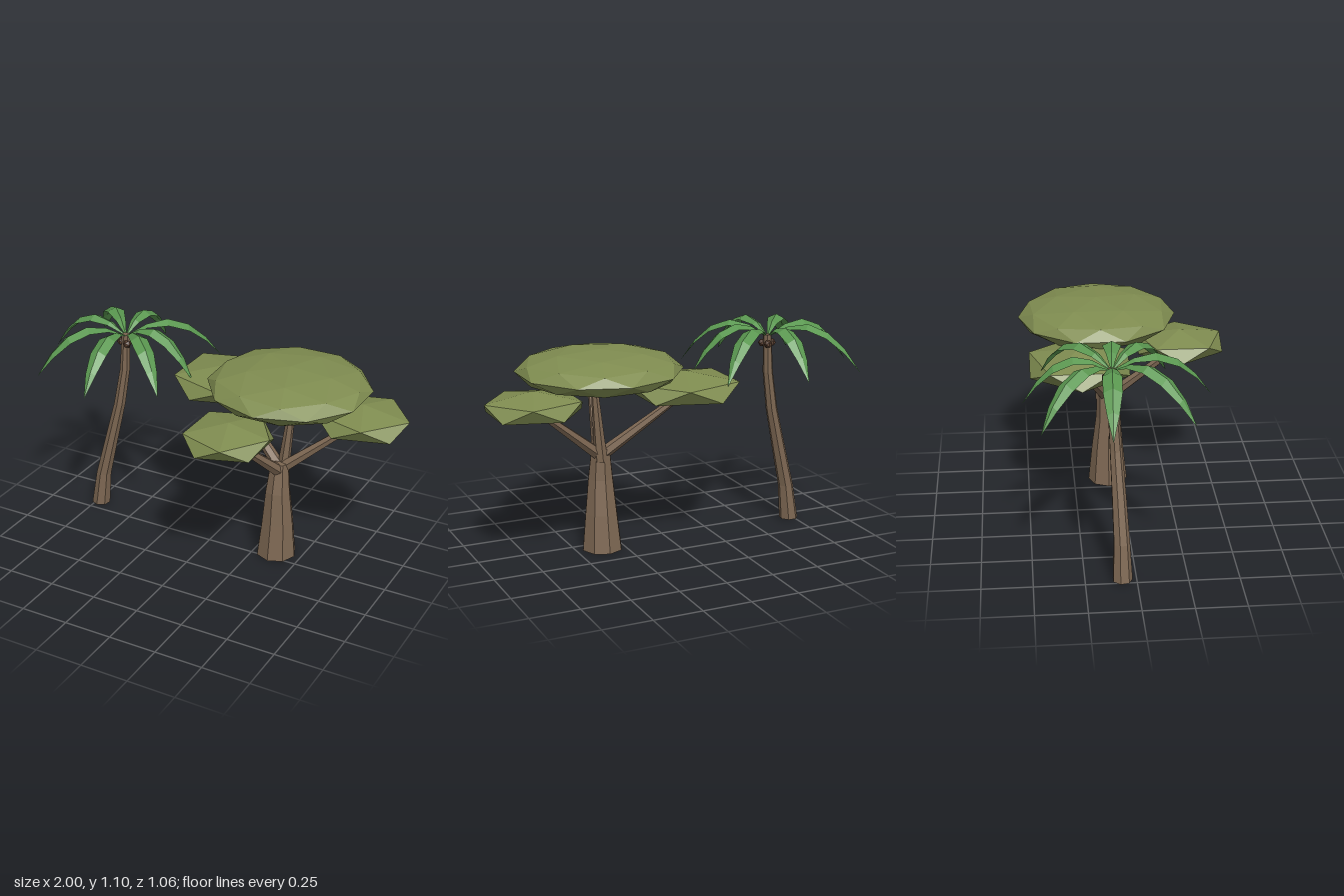
import * as THREE from 'three';

const mat = (name, color, side = THREE.FrontSide) =>
  Object.assign(new THREE.MeshStandardMaterial({ color, flatShading: true, side }), { name });

export function createModel() {
  const bark = mat('bark brown', 0x7e6853);
  const nut = mat('nut brown', 0x5a4030);
  const olive = mat('olive foliage', 0x7f8c50);
  const green = mat('palm green', 0x5a9750, THREE.DoubleSide);

  const model = new THREE.Group();
  model.name = 'savannaTrees';
  const acacia = new THREE.Group();
  acacia.name = 'flatTopTree';
  const palm = new THREE.Group();
  palm.name = 'palmTree';
  model.add(acacia, palm);

  const add = (parent, name, geometry, material) => {
    const mesh = new THREE.Mesh(geometry, material);
    mesh.name = name;
    parent.add(mesh);
    return mesh;
  };

  // Trunk bent through rings of [x, y, z, radius], bottom to top
  function trunk(rings, sides) {
    const n = rings.length - 1;
    const g = new THREE.CylinderGeometry(1, 1, 1, sides, n);
    const p = g.attributes.position;
    for (let i = 0; i < p.count; i++) {
      const [x, y, z, r] = rings[Math.round((p.getY(i) + 0.5) * n)];
      p.setXYZ(i, x + p.getX(i) * r, y, z + p.getZ(i) * r);
    }
    g.computeVertexNormals();
    return g;
  }

  // Straight tapered limb between two points
  function limb(from, to, r0, r1) {
    const a = new THREE.Vector3(...from), b = new THREE.Vector3(...to);
    const d = b.clone().sub(a);
    const g = new THREE.CylinderGeometry(r1, r0, d.length(), 6);
    g.applyQuaternion(new THREE.Quaternion().setFromUnitVectors(
      new THREE.Vector3(0, 1, 0), d.clone().normalize()));
    const mid = a.add(b).multiplyScalar(0.5);
    return g.translate(mid.x, mid.y, mid.z);
  }

  // Flattened icosahedron standing on one corner
  function crown(center, size, detail) {
    const g = new THREE.IcosahedronGeometry(1, detail);
    g.rotateZ(Math.PI / 2 - Math.atan((1 + Math.sqrt(5)) / 2));
    g.rotateY(Math.PI);
    return g.scale(...size).translate(...center);
  }

  // Flat-topped tree
  add(acacia, 'trunk', trunk([
    [0.362, 0.005, -0.065, 0.105], [0.365, 0.2, -0.065, 0.085],
    [0.365, 0.38, -0.06, 0.066], [0.367, 0.54, -0.07, 0.048],
  ], 8), bark);
  const limbs = [
    ['frontBranch', [0.37, 0.5, -0.05], [0.27, 0.81, 0.305]],
    ['leftBranch', [0.37, 0.5, -0.075], [0.75, 0.81, -0.19]],
    ['rightBranch', [0.37, 0.5, -0.075], [-0.02, 0.82, -0.23]],
    ['topBranch', [0.375, 0.48, -0.095], [0.415, 0.9, -0.11]],
  ];
  for (const [name, from, to] of limbs) add(acacia, name, limb(from, to, 0.033, 0.016), bark);
  const crowns = [
    ['topCrown', [0.388, 0.955, -0.118], [0.416, 0.1, 0.412], 1],
    ['frontCrown', [0.27, 0.833, 0.308], [0.245, 0.074, 0.258], 0],
    ['leftCrown', [0.755, 0.825, -0.19], [0.274, 0.077, 0.247], 0],
    ['rightCrown', [-0.02, 0.85, -0.23], [0.313, 0.082, 0.294], 0],
  ];
  for (const [name, center, size, detail] of crowns) {
    add(acacia, name, crown(center, size, detail), olive);
  }

  // Leaning palm trunk
  add(palm, 'palmTrunk', trunk([
    [-0.722, 0.01, -0.07, 0.05], [-0.698, 0.2, -0.072, 0.041], [-0.645, 0.42, -0.08, 0.036],
    [-0.592, 0.64, -0.09, 0.031], [-0.56, 0.84, -0.1, 0.027], [-0.55, 1.04, -0.105, 0.022],
  ], 7), bark);

  // Nuts under the fronds
  for (let i = 0; i < 3; i++) {
    const a = 0.9 + i * Math.PI * 2 / 3;
    add(palm, 'nut', new THREE.IcosahedronGeometry(0.022, 0), nut)
      .position.set(-0.55 + Math.cos(a) * 0.028, 0.995, -0.105 + Math.sin(a) * 0.028);
  }

  // Frond along +x: rows of [reach, ridge height, half width], folded like a roof
  const profile = [[0.015, 1.04, 0.006], [0.1, 1.088, 0.026], [0.2, 1.108, 0.045],
    [0.3, 1.07, 0.044], [0.385, 0.99, 0.028], [0.46, 0.88, 0.001]];
  function frond(length) {
    const pos = [], index = [];
    profile.forEach(([x, y, w], i) => {
      const reach = x * length / 0.46;
      pos.push(reach, y - w * 0.5, w, reach, y, 0, reach, y - w * 0.5, -w);
      if (!i) return;
      for (let k = 0; k < 2; k++) {
        const a = (i - 1) * 3 + k, b = a + 3;
        index.push(a, b, a + 1, b, b + 1, a + 1);
      }
    });
    const g = new THREE.BufferGeometry();
    g.setAttribute('position', new THREE.Float32BufferAttribute(pos, 3));
    g.setIndex(index);
    g.computeVertexNormals();
    return g;
  }

  // Frond tips as [x, z]
  const tips = [[-0.555, -0.525], [-0.9, -0.445], [-1, -0.13], [-0.865, 0.255],
    [-0.51, 0.37], [-0.195, 0.185], [-0.14, -0.075], [-0.16, -0.425]];
  for (const [x, z] of tips) {
    const dx = x + 0.55, dz = z + 0.105;
    const leaf = add(palm, 'frond', frond(Math.hypot(dx, dz)), green);
    leaf.position.set(-0.55, 0, -0.105);
    leaf.rotation.y = Math.atan2(-dz, dx);
  }
  return model;
}
